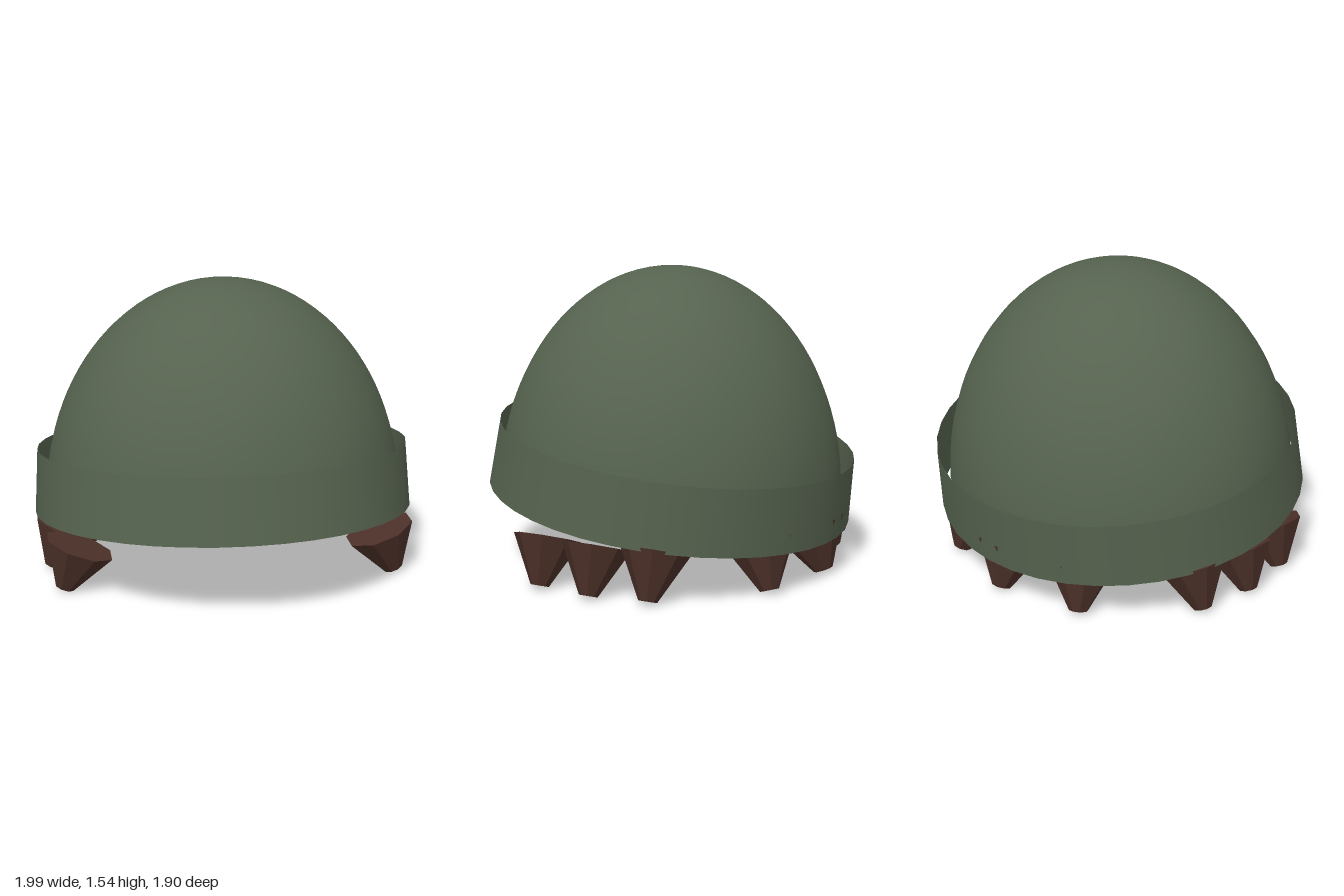
import * as THREE from 'three';

export function createModel() {
  const model = new THREE.Group();
  model.name = 'knitCapWithHair';

  const wool = new THREE.MeshStandardMaterial({ color: 0x56634f, side: THREE.DoubleSide });
  wool.name = 'green wool';
  const hair = new THREE.MeshStandardMaterial({ color: 0x4d3129, flatShading: true });
  hair.name = 'brown hair';

  // Crown: open egg-shaped shell whose rim is tilted up at the front
  const crownGeo = new THREE.SphereGeometry(1, 48, 24, 0, Math.PI * 2, 0, 1.476)
    .rotateX(-0.103)
    .scale(0.938, 1.175, 0.893);
  const crown = new THREE.Mesh(crownGeo, wool);
  crown.name = 'crown';
  crown.position.set(0, 0.37, 0.013);
  model.add(crown);

  // Folded cuff: thin open band, slightly oval and tilted
  const cuffGeo = new THREE.CylinderGeometry(0.975, 0.997, 0.336, 40, 1, true).scale(1, 1, 0.95);
  const cuff = new THREE.Mesh(cuffGeo, wool);
  cuff.name = 'cuff';
  cuff.rotation.x = -0.14;
  cuff.position.set(0, 0.497, -0.006);
  model.add(cuff);

  // Hair tufts: tapered eight-sided locks leaning inward at the top
  const tuftGeo = new THREE.CylinderGeometry(0.185, 0.05, 0.24, 8, 1, false, Math.PI / 8)
    .translate(0, 0.12, 0);
  function addTuft(name, x, z, facing, width) {
    const tuft = new THREE.Mesh(tuftGeo, hair);
    tuft.name = name;
    tuft.position.set(x, 0.022, z);
    tuft.rotation.order = 'YXZ';
    tuft.rotation.set(-0.36, facing, 0);
    tuft.scale.x = width;
    model.add(tuft);
  }

  addTuft('backTuft', 0, -0.85, Math.PI, 1);
  for (const side of [1, -1]) {
    const label = side > 0 ? 'left' : 'right';
    addTuft(label + 'BackTuft', side * 0.45, -0.735, Math.PI - side * 0.55, 0.95);
    addTuft(label + 'SideTuftRear', side * 0.87, -0.28, side * Math.PI / 2, 0.9);
    addTuft(label + 'SideTuftMiddle', side * 0.915, 0.017, side * Math.PI / 2, 0.9);
    addTuft(label + 'SideTuftFront', side * 0.87, 0.315, side * Math.PI / 2, 0.9);
  }

  return model;
}
